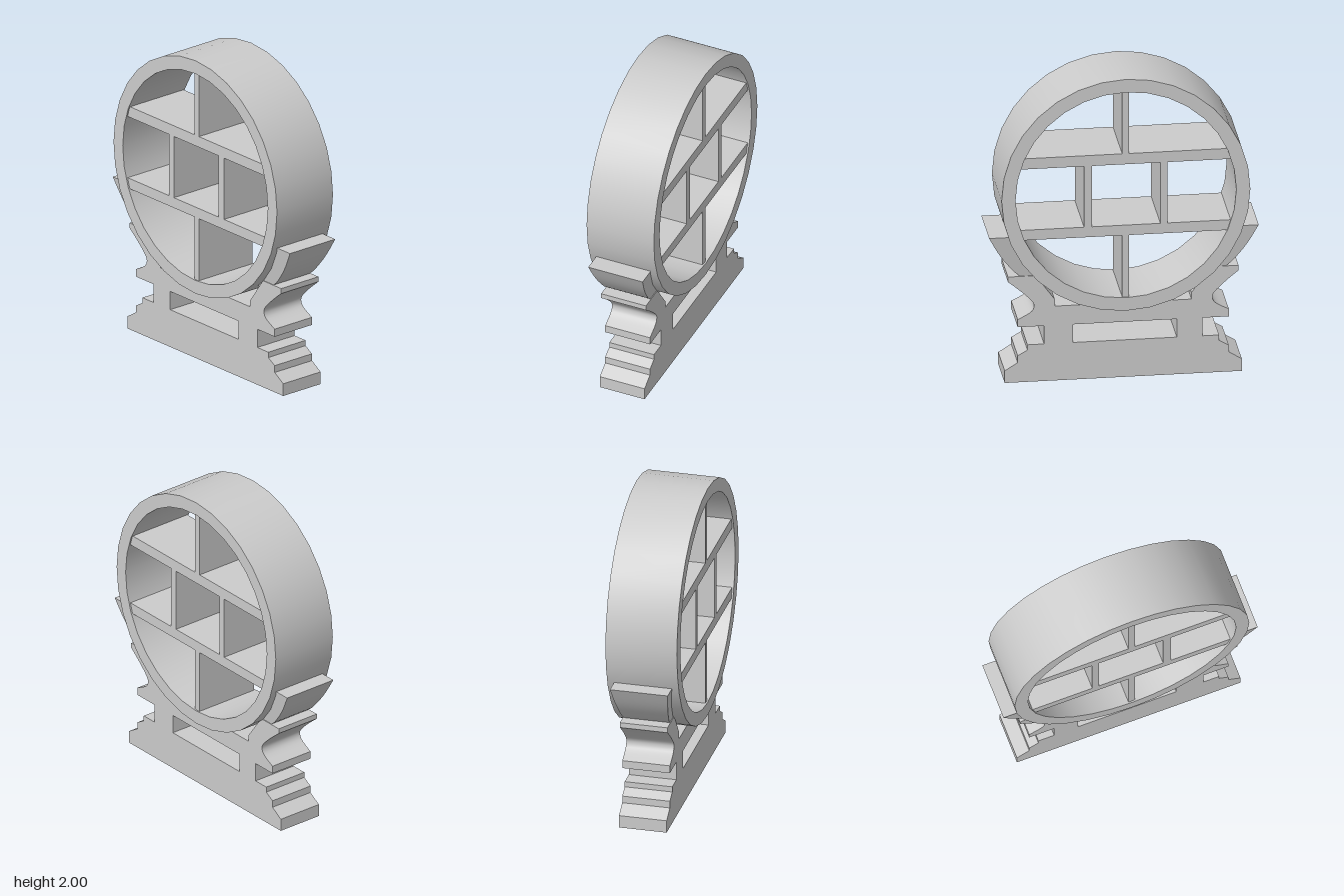
import * as THREE from 'three';
import { toCreasedNormals } from 'three/addons/utils/BufferGeometryUtils.js';

const CX = -0.007, CY = 1.235, R_OUT = 0.766, R_IN = 0.68;

export function createModel() {
  const model = new THREE.Group();
  const material = new THREE.MeshStandardMaterial({ color: 0xcccccc });

  const add = (name, geometry) => {
    const mesh = new THREE.Mesh(geometry, material);
    mesh.name = name;
    model.add(mesh);
    return mesh;
  };
  // Extrude a front outline, centred on z = 0
  const slab = (shape, depth, curveSegments = 12) =>
    new THREE.ExtrudeGeometry(shape, { depth, bevelEnabled: false, curveSegments })
      .translate(0, 0, -depth / 2);
  const vec = (pts) => pts.map(([x, y]) => new THREE.Vector2(x, y));

  // Round frame
  const ring = new THREE.Shape().absarc(CX, CY, R_OUT, 0, Math.PI * 2);
  ring.holes.push(new THREE.Path().absarc(CX, CY, R_IN, 0, Math.PI * 2, true));
  add('ringFrame', toCreasedNormals(slab(ring, 0.45, 16), 0.5));

  // Shelves and dividers: x range, y range
  const board = (name, x0, x1, y0, y1) =>
    add(name, new THREE.BoxGeometry(x1 - x0, y1 - y0, 0.43))
      .position.set((x0 + x1) / 2, (y0 + y1) / 2, 0);
  board('upperShelf', CX - 0.66, CX + 0.66, 1.435, 1.505);
  board('lowerShelf', CX - 0.68, CX + 0.68, 0.965, 1.032);
  board('upperDivider', -0.027, 0.015, 1.505, 1.93);
  board('lowerDivider', -0.027, 0.015, 0.54, 0.965);
  board('middleDividerRight', -0.263, -0.22, 1.032, 1.435);
  board('middleDividerLeft', 0.2, 0.25, 1.032, 1.435);

  // Stand outline: left half, then mirrored
  const neck = new THREE.SplineCurve(vec([
    [0.65, 0.415], [0.575, 0.455], [0.55, 0.49], [0.56, 0.53], [0.63, 0.6], [0.71, 0.667],
  ])).getPoints(15);
  const half = [
    ...vec([[0.73, 0], [0.73, 0.08], [0.65, 0.13], [0.65, 0.175], [0.59, 0.21],
      [0.59, 0.245], [0.487, 0.245], [0.487, 0.365], [0.65, 0.365]]),
    ...neck,
    ...vec([[0.71, 0.7], [0.54, 0.7], [0.42, 0.535], [0.42, 0.492]]),
  ];
  const mirrored = half.map((p) => new THREE.Vector2(-p.x, p.y)).reverse();
  const stand = new THREE.Shape([...half, ...mirrored]);
  stand.holes.push(new THREE.Path(vec([
    [-0.33, 0.245], [-0.33, 0.365], [0.31, 0.365], [0.31, 0.245],
  ])));
  add('stand', toCreasedNormals(slab(stand, 0.3), 0.6));

  // Side wings hugging the ring, flaring in depth towards the top
  for (const side of [1, -1]) {
    const outer = new THREE.SplineCurve(vec([
      [0.5, 0.64], [0.635, 0.7], [0.715, 0.785], [0.775, 0.872], [0.83, 0.975],
    ])).getPoints(12);
    const inner = [];
    for (let i = 0; i <= 10; i++) {
      const a = THREE.MathUtils.lerp(-0.365, -0.9, i / 10);
      inner.push(new THREE.Vector2(0.735 * Math.cos(a) + side * CX, CY + 0.735 * Math.sin(a)));
    }
    inner[0].y = 0.975;
    const outline = [...outer, ...inner].map((p) => new THREE.Vector2(p.x * side, p.y));
    const geometry = slab(new THREE.Shape(outline), 2);
    const pos = geometry.attributes.position;
    for (let i = 0; i < pos.count; i++) {
      const width = 0.145 + (0.037 * (pos.getY(i) - 0.7)) / 0.275;
      pos.setZ(i, pos.getZ(i) * width);
    }
    add(side > 0 ? 'leftWing' : 'rightWing', toCreasedNormals(geometry, 0.5));
  }

  return model;
}
